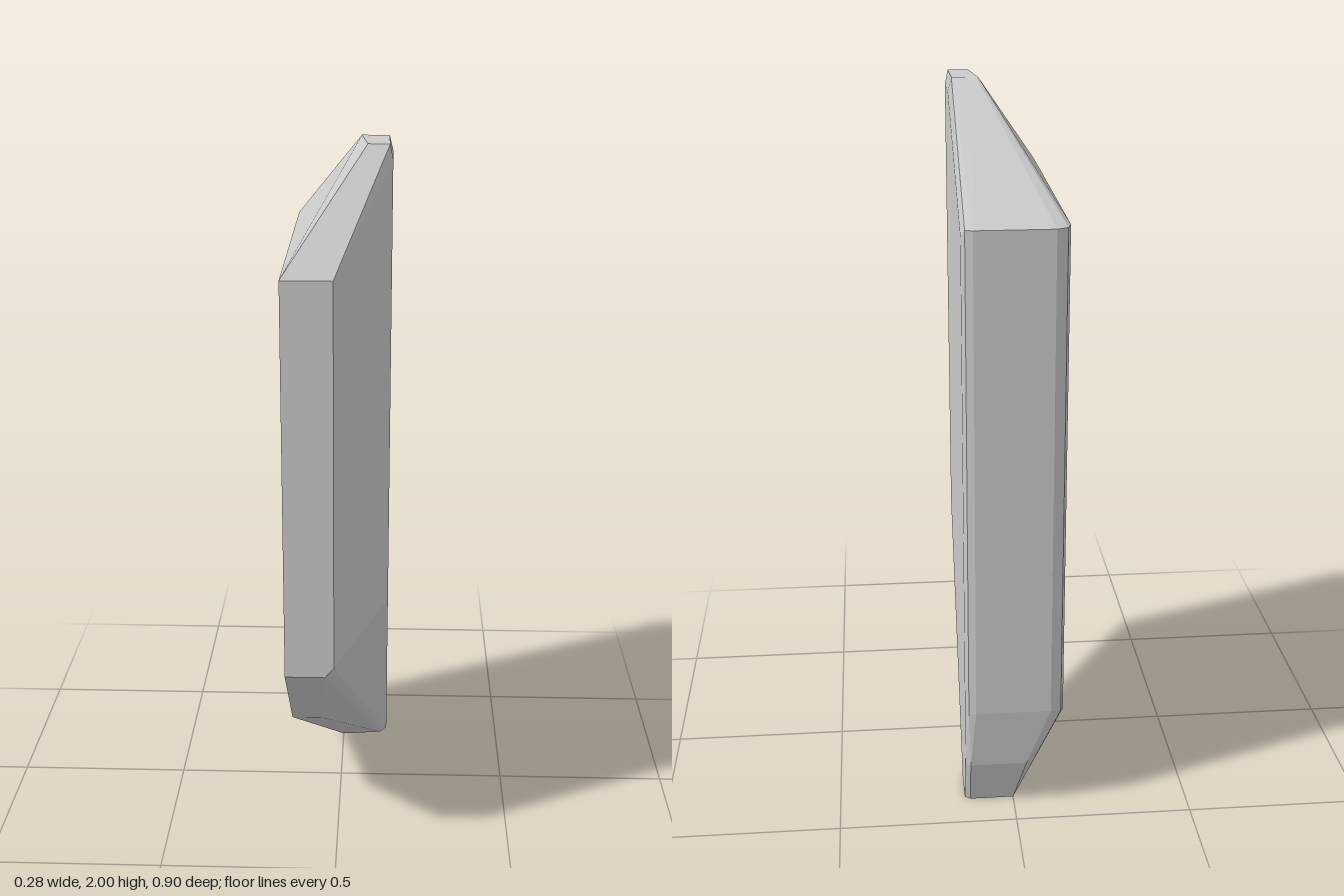
import * as THREE from 'three';
import { ConvexGeometry } from 'three/addons/geometries/ConvexGeometry.js';

// A tall cut slab of stone: every facet is spanned by its corner points.
export function createModel() {
  const group = new THREE.Group();
  group.name = 'cutStone';

  const corners = [
    // crown: small flat top with a bevelled right edge
    [0.057, 2, 0.07], [0.075, 2, 0.22], [0.132, 2, 0.22], [0.13, 2, 0.07],
    [0.14, 1.96, 0.22], [0.14, 1.96, 0.08], [0.062, 1.998, 0.06],
    // front edge, upper and lower ends
    [-0.14, 1.7, 0.45], [-0.005, 1.7, 0.45],
    [-0.14, 0.59, 0.45], [-0.03, 0.59, 0.45], [-0.005, 0.62, 0.45],
    // back edge, upper end with bevelled corners
    [-0.14, 1.7, -0.405], [-0.13, 1.7, -0.435], [-0.1, 1.7, -0.45],
    [0.11, 1.7, -0.45], [0.13, 1.7, -0.443], [0.14, 1.68, -0.428],
    // back edge, lower end tapering to the foot
    [-0.14, 0.3, -0.405], [-0.13, 0.31, -0.435], [-0.1, 0.32, -0.45],
    [0.11, 0.32, -0.45], [0.13, 0.32, -0.443], [0.14, 0.3, -0.428],
    [-0.035, 0.14, -0.43], [0.125, 0.14, -0.43], [0.14, 0.14, -0.418],
    // chin facets on the lower front
    [-0.14, 0.3, 0.17], [-0.05, 0.3, 0.17], [0.14, 0.7, 0.18],
    // foot
    [0, 0, -0.24], [0.12, 0, -0.255], [0.14, 0, -0.285],
    [0.14, 0, -0.38], [0.125, 0, -0.39], [0, 0, -0.39],
  ].map((p) => new THREE.Vector3(...p));

  const stone = new THREE.Mesh(
    new ConvexGeometry(corners),
    new THREE.MeshStandardMaterial({ color: 0xcccccc, flatShading: true }),
  );
  stone.name = 'stone';
  group.add(stone);
  return group;
}
